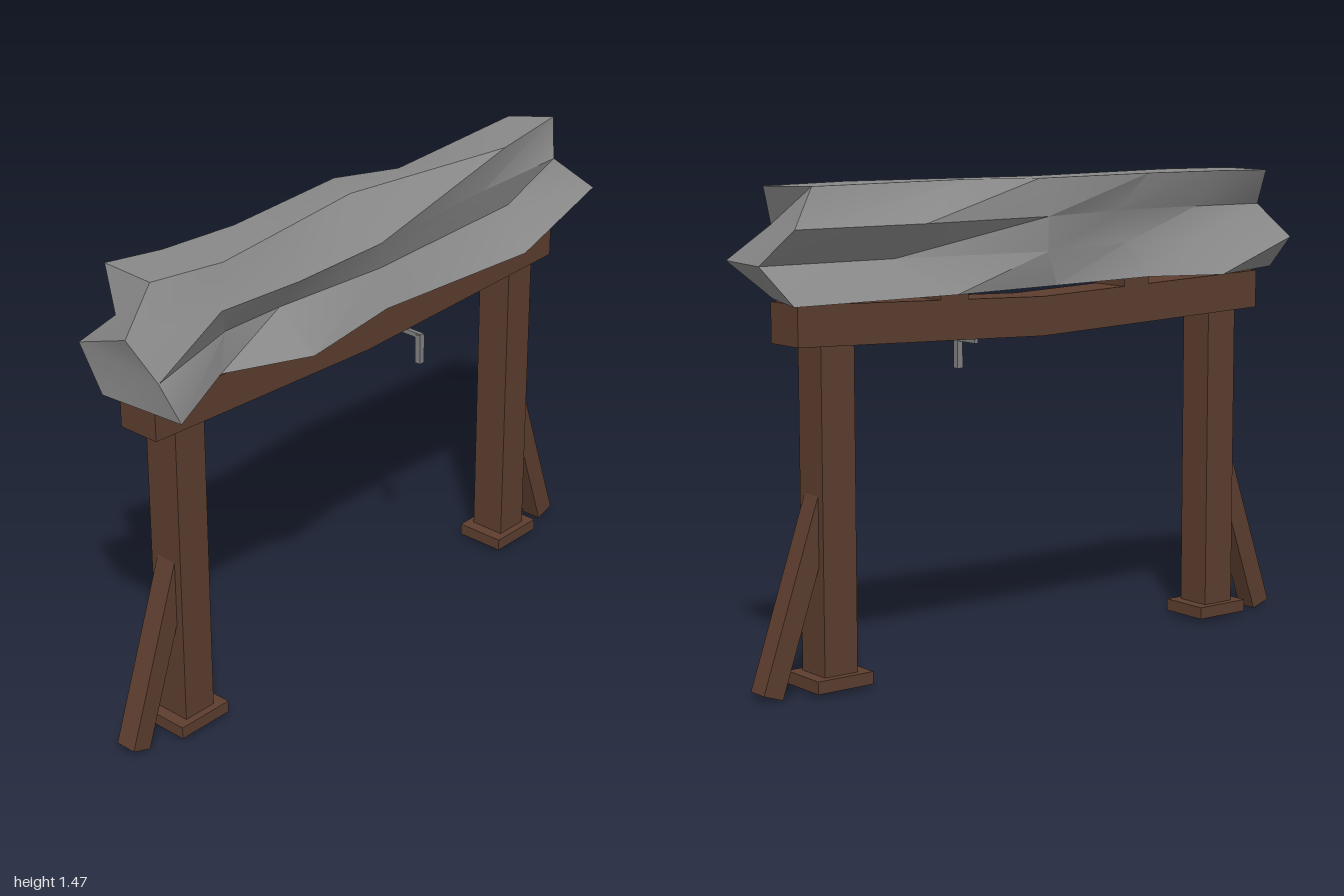
import * as THREE from 'three';
import { toCreasedNormals } from 'three/addons/utils/BufferGeometryUtils.js';

const wood = new THREE.MeshStandardMaterial({ color: 0x5c3d2e });
const stone = new THREE.MeshStandardMaterial({ color: 0x888888 });
const metal = new THREE.MeshStandardMaterial({ color: 0x808080 });
const Z = -0.02; // depth centre of the timber frame

function add(parent, name, geometry, material, x, y, z) {
  const mesh = new THREE.Mesh(geometry, material);
  mesh.name = name;
  mesh.position.set(x, y, z);
  parent.add(mesh);
  return mesh;
}

// Rough stone: four levels, each with a front and a back edge of [x, z] points
function stoneGeometry() {
  const heights = [1.145, 1.25, 1.353, 1.466];
  const front = [
    [[-0.94, 0.21], [-0.65, 0.07], [-0.39, 0.185], [-0.01, 0.125], [0.59, 0.17], [0.88, 0.03]],
    [[-0.957, 0.145], [-0.6, 0.04], [-0.38, 0.04], [0.02, 0.07], [0.66, 0.04], [0.96, 0.15]],
    [[-0.975, 0.04], [-0.67, 0.1], [-0.38, 0.12], [-0.02, 0.11], [0.5, 0.07], [0.865, 0.06]],
    [[-0.84, 0], [-0.61, 0.05], [-0.38, 0.02], [0, -0.03], [0.6, 0.07], [0.92, 0.01]],
  ];
  const back = [
    [[-0.96, -0.08], [-0.63, -0.21], [-0.4, -0.12], [0, -0.16], [0.4, -0.2], [0.96, -0.205]],
    [[-0.92, -0.212], [-0.6, -0.12], [-0.35, -0.07], [0.05, -0.18], [0.55, -0.1], [0.995, -0.08]],
    [[-0.88, -0.1], [-0.63, -0.08], [-0.3, -0.08], [0.04, -0.17], [0.5, -0.19], [0.93, -0.165]],
    [[-0.83, -0.19], [-0.66, -0.14], [-0.4, -0.115], [0.06, -0.15], [0.25, -0.06], [0.83, -0.1]],
  ];
  const positions = [], index = [];
  for (let i = 0; i < 6; i++) {
    // section loop: up the front, down the back
    for (let j = 0; j < 8; j++) {
      const level = j < 4 ? j : 7 - j;
      const [x, z] = (j < 4 ? front : back)[level][i];
      positions.push(x, heights[level], z);
    }
  }
  const at = (i, j) => i * 8 + (j % 8);
  const quad = (a, b, c, d) => index.push(a, b, c, a, c, d);
  for (let i = 0; i < 5; i++) {
    for (let j = 0; j < 8; j++) quad(at(i, j), at(i + 1, j), at(i + 1, j + 1), at(i, j + 1));
  }
  for (let j = 0; j < 3; j++) {
    quad(at(5, j), at(5, 7 - j), at(5, 6 - j), at(5, j + 1));
    quad(at(0, 7 - j), at(0, j), at(0, j + 1), at(0, 6 - j));
  }
  const geometry = new THREE.BufferGeometry();
  geometry.setAttribute('position', new THREE.Float32BufferAttribute(positions, 3));
  geometry.setIndex(index);
  return toCreasedNormals(geometry, 0.6);
}

// Beam that sags to its middle
function beamGeometry() {
  const geometry = new THREE.BoxGeometry(1.764, 0.12, 0.14, 2, 1, 1);
  const p = geometry.attributes.position;
  for (let i = 0; i < p.count; i++) {
    p.setY(i, p.getY(i) - 0.03 * (1 - Math.abs(p.getX(i)) / 0.882));
  }
  geometry.computeVertexNormals();
  return geometry;
}

export function createModel() {
  const model = new THREE.Group();

  add(model, 'stoneSlab', stoneGeometry(), stone, 0, 0, 0);
  add(model, 'beam', beamGeometry(), wood, -0.006, 1.076, Z);

  // Legs, feet and slanted braces on both sides
  for (const side of [-1, 1]) {
    const leg = new THREE.Group();
    leg.name = side < 0 ? 'rightLeg' : 'leftLeg';
    const x = -0.006 + side * 0.742;
    add(leg, 'post', new THREE.BoxGeometry(0.114, 0.97, 0.118), wood, x, 0.535, Z);
    add(leg, 'foot', new THREE.BoxGeometry(0.192, 0.038, 0.165), wood, x, 0.031, Z);
    const brace = add(leg, 'brace', new THREE.BoxGeometry(0.068, 0.7, 0.07), wood,
      -0.006 + side * 0.845, 0.342, Z);
    brace.rotation.z = side * 0.332;
    model.add(leg);
  }

  // Spacer blocks between beam and stone
  for (const x of [-0.375, 0.33]) {
    add(model, 'spacerBlock', new THREE.BoxGeometry(0.1, 0.06, 0.14), wood, x, 1.118, Z);
  }

  // Crank handle under the beam
  const crank = new THREE.Group();
  crank.name = 'crank';
  add(crank, 'crankShaft', new THREE.BoxGeometry(0.014, 0.015, 0.1), metal, 0.187, 0.977, 0.045);
  add(crank, 'crankGrip', new THREE.BoxGeometry(0.02, 0.095, 0.02), metal, 0.187, 0.933, 0.086);
  model.add(crank);

  return model;
}
